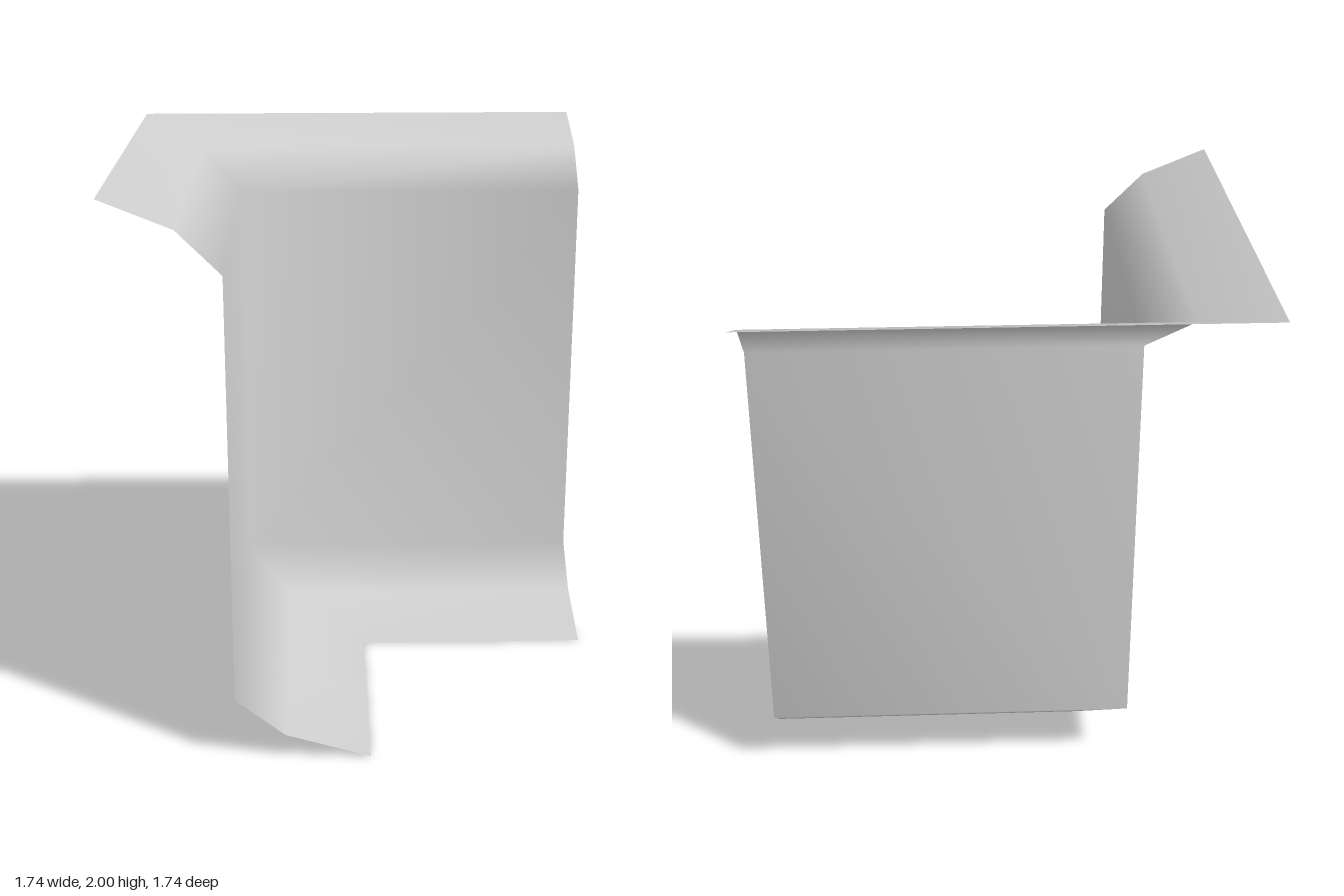
import * as THREE from 'three';

// Wall profile from top lip to foot: [offset from the centre, height]
const PROFILE = [
  [-0.87, 2], [-0.625, 1.9], [-0.475, 1.75],
  [-0.475, 0.23], [-0.3, 0.09], [0, 0],
];
const END = 0.87; // open ends of both legs

export function createModel() {
  const group = new THREE.Group();
  group.name = 'cornerPiece';
  const stone = new THREE.MeshStandardMaterial({ color: 0xcccccc, side: THREE.DoubleSide });
  stone.name = 'light grey';

  // Sweep the profile along an L with a mitred, smooth-shaded corner
  const positions = [];
  const indices = [];
  PROFILE.forEach(([d, y], i) => {
    positions.push(d, y, END, d, y, d, END, y, d);
    if (i === PROFILE.length - 1) return;
    for (let j = 0; j < 2; j++) {
      const a = i * 3 + j, b = a + 1, c = a + 3, e = a + 4;
      indices.push(a, c, b, b, c, e);
    }
  });
  const geometry = new THREE.BufferGeometry();
  geometry.setAttribute('position', new THREE.Float32BufferAttribute(positions, 3));
  geometry.setIndex(indices);
  geometry.computeVertexNormals();

  const wall = new THREE.Mesh(geometry, stone);
  wall.name = 'cornerWall';
  group.add(wall);
  return group;
}
